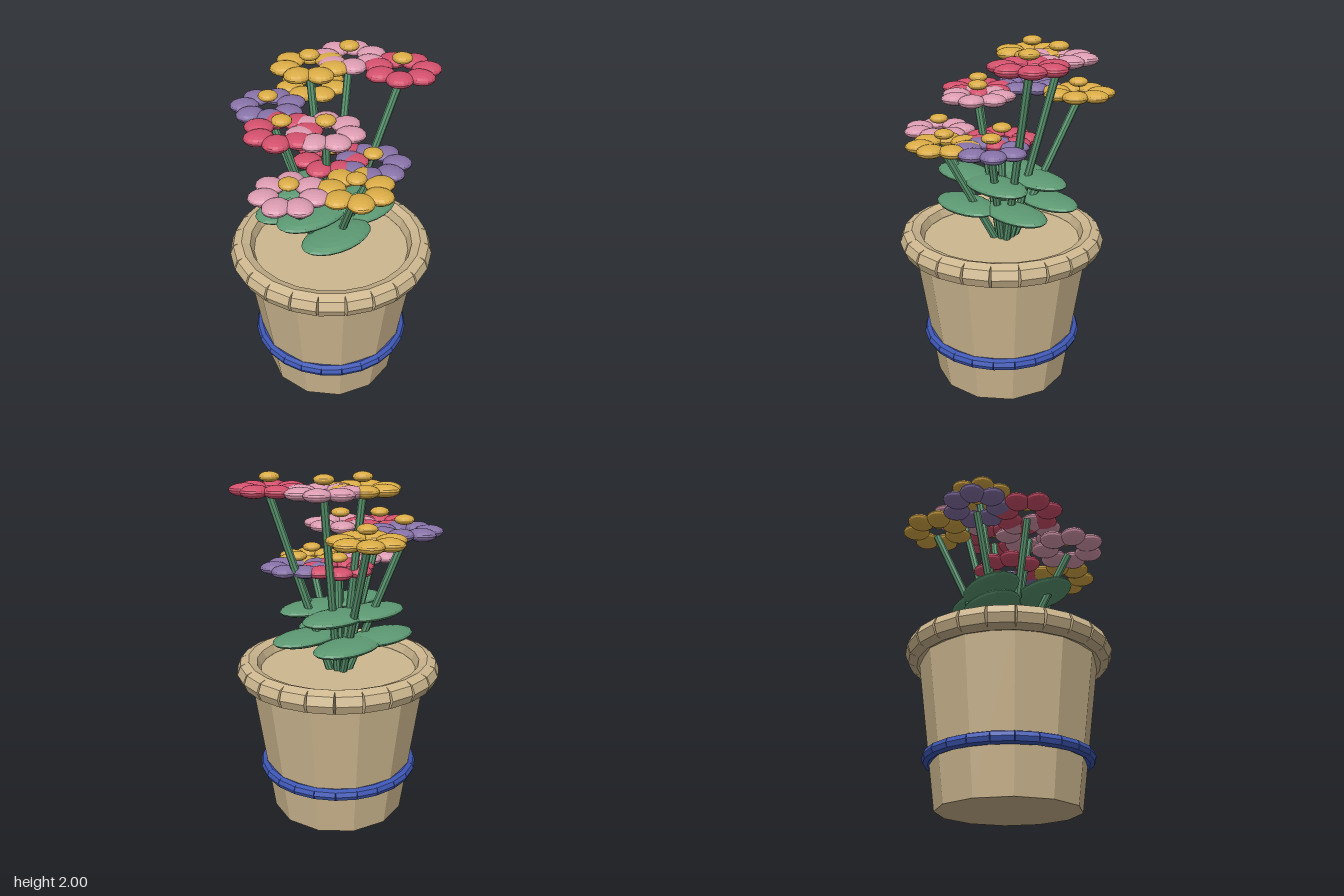
import * as THREE from 'three';

const paint = (name, color) => {
  const m = new THREE.MeshStandardMaterial({ color, flatShading: true });
  m.name = name;
  return m;
};
const clay = paint('tan clay', 0xcdb78f);
const blue = paint('blue band', 0x3e57b4);
const green = paint('leaf green', 0x5c9872);
const gold = paint('gold', 0xd9ab46);
const red = paint('rose red', 0xd2506c);
const pink = paint('pink', 0xdb9bb0);
const purple = paint('purple', 0x8671a6);

const add = (parent, name, geo, mat, x = 0, y = 0, z = 0) => {
  const m = new THREE.Mesh(geo, mat);
  m.name = name;
  m.position.set(x, y, z);
  parent.add(m);
  return m;
};

// Ring made of short straight rods laid end to end
function rodRing(name, mat, y, ringRadius, rodRadius, rodLength, count = 24) {
  const ring = new THREE.Group();
  ring.name = name;
  const geo = new THREE.CylinderGeometry(rodRadius, rodRadius, rodLength, 8).rotateZ(Math.PI / 2);
  for (let i = 0; i < count; i++) {
    const a = ((i + 0.5) / count) * Math.PI * 2;
    const rod = add(ring, name + 'Segment', geo, mat, Math.sin(a) * ringRadius, y, Math.cos(a) * ringRadius);
    rod.rotation.y = a;
  }
  return ring;
}

const petalGeo = new THREE.SphereGeometry(1, 16, 10).scale(0.08, 0.034, 0.072);
const heartGeo = new THREE.SphereGeometry(1, 16, 10).scale(0.054, 0.027, 0.054);
const leafGeo = new THREE.SphereGeometry(1, 20, 10).scale(0.22, 0.036, 0.13);

// Stem leaning out from the soil, ring of petals, raised centre
function flower(x, y, z, mat, turn) {
  const g = new THREE.Group();
  g.name = 'flower';
  const foot = new THREE.Vector3(x * 0.15, 0.86, z * 0.15);
  const tip = new THREE.Vector3(x, y - 0.04, z);
  const dir = tip.clone().sub(foot);
  const stem = add(g, 'stem', new THREE.CylinderGeometry(0.022, 0.022, dir.length(), 8), green);
  stem.position.copy(foot).add(tip).multiplyScalar(0.5);
  stem.quaternion.setFromUnitVectors(new THREE.Vector3(0, 1, 0), dir.normalize());
  for (let i = 0; i < 7; i++) {
    const a = (i / 7) * Math.PI * 2 + turn;
    const petal = add(g, 'petal', petalGeo, mat, x + Math.cos(a) * 0.13, y, z + Math.sin(a) * 0.13);
    petal.rotation.y = -a;
  }
  add(g, 'flowerCentre', heartGeo, gold, x, y + 0.063, z);
  return g;
}

export function createModel() {
  const model = new THREE.Group();
  model.name = 'pottedFlowers';

  // Pot with rolled rim and painted band
  const pot = new THREE.Group();
  pot.name = 'pot';
  pot.position.z = 0.012;
  add(pot, 'potBody', new THREE.CylinderGeometry(0.512, 0.39, 0.87, 12), clay, 0, 0.435, 0);
  pot.add(rodRing('rim', clay, 0.872, 0.515, 0.068, 0.139));
  pot.add(rodRing('band', blue, 0.273, 0.431, 0.034, 0.117));
  model.add(pot);

  // Two tiers of flat leaves
  const tiers = [
    [1.08, [[-0.1, 0.19], [0.19, 0.07], [0.14, -0.21], [-0.14, -0.2]]],
    [1.225, [[0.09, 0.125], [0.135, -0.12], [-0.2, 0.11], [-0.09, -0.17]]],
  ];
  for (const [y, spots] of tiers)
    for (const [x, z] of spots) add(model, 'leaf', leafGeo, green, x, y, z);

  // Three tiers of flowers
  const blooms = [
    [1.455, [[-0.385, 0.165, pink], [-0.09, 0.335, gold], [0.14, 0.195, purple], [0, 0.01, red]]],
    [1.685, [[0.18, -0.39, gold], [-0.17, -0.32, purple], [-0.275, -0.04, red], [-0.1, 0.097, pink]]],
    [1.91, [[0.015, -0.19, gold], [0.257, -0.16, pink], [0.365, 0.138, red]]],
  ];
  for (const [y, list] of blooms)
    list.forEach(([x, z, mat], i) => model.add(flower(x, y, z, mat, i * 0.3)));

  return model;
}
